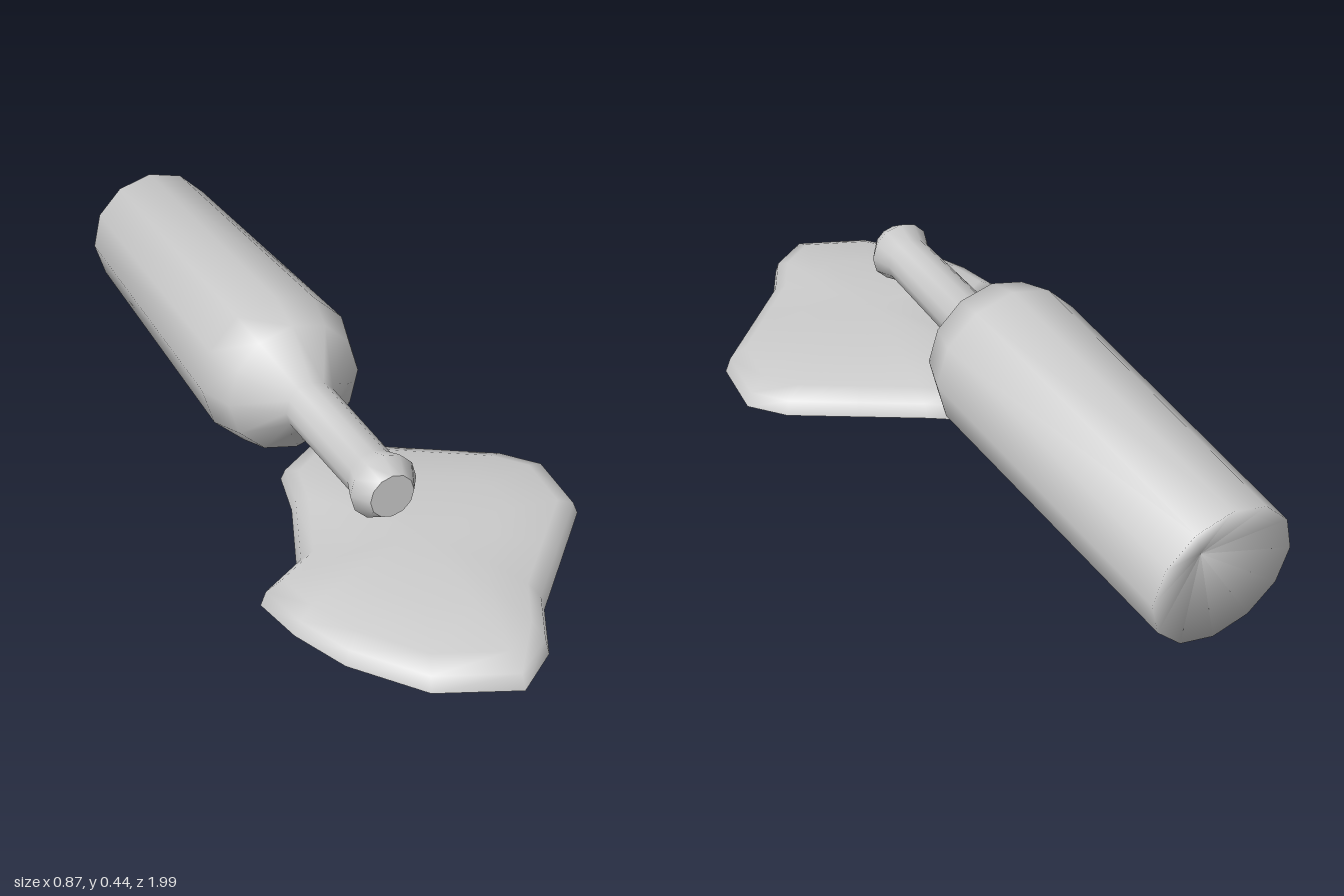
import * as THREE from 'three';

const material = new THREE.MeshStandardMaterial({ color: 0xcccccc, side: THREE.DoubleSide });

function addMesh(parent, name, geometry) {
  const mesh = new THREE.Mesh(geometry, material);
  mesh.name = name;
  parent.add(mesh);
  return mesh;
}

// Twelve-sided bottle with a dished base, lying with its neck tipped up slightly
function createBottle() {
  const bottle = new THREE.Group();
  bottle.name = 'bottle';
  const profile = [
    [0, 0.08], [0.19, 0], [0.215, 0.89], [0.182, 0.99], [0.07, 1.09],
    [0.066, 1.42], [0.087, 1.475], [0.057, 1.52],
  ].map(([r, h]) => new THREE.Vector2(r, h));
  addMesh(bottle, 'bottleBody', new THREE.LatheGeometry(profile, 12));

  const mouth = addMesh(bottle, 'bottleMouth', new THREE.CircleGeometry(0.057, 12));
  mouth.rotation.x = -Math.PI / 2;
  mouth.position.y = 1.52;

  bottle.rotation.x = Math.PI / 2 - 0.037;
  bottle.position.set(-0.118, 0.19, -0.99);
  return bottle;
}

// Domed puddle shell: the outline shrinks towards the centre while rising, open below
function createPuddle() {
  const outline = [
    [-0.06, -0.02], [0.04, 0.05], [0.2, 0.15], [0.36, 0.25], [0.435, 0.34], [0.42, 0.52],
    [0.28, 0.66], [0.15, 0.79], [0.08, 0.92], [-0.03, 0.995], [-0.22, 0.91], [-0.35, 0.75],
    [-0.41, 0.61], [-0.437, 0.48], [-0.31, 0.41], [-0.22, 0.19], [-0.19, 0.06],
  ];
  const rings = [[1, 0], [0.965, 0.037], [0.86, 0.06], [0.55, 0.079], [0.25, 0.085]];
  const cx = -0.03, cz = 0.5, n = outline.length;
  const positions = [], indices = [];

  for (const [s, y] of rings) {
    for (const [x, z] of outline) positions.push(cx + (x - cx) * s, y, cz + (z - cz) * s);
  }
  const top = rings.length * n;
  positions.push(cx, 0.086, cz);

  for (let r = 0; r < rings.length; r++) {
    for (let i = 0; i < n; i++) {
      const a = r * n + i, b = r * n + (i + 1) % n;
      if (r === rings.length - 1) indices.push(a, top, b);
      else indices.push(a, a + n, b, b, a + n, b + n);
    }
  }
  const geometry = new THREE.BufferGeometry();
  geometry.setAttribute('position', new THREE.Float32BufferAttribute(positions, 3));
  geometry.setIndex(indices);
  geometry.computeVertexNormals();
  return geometry;
}

export function createModel() {
  const model = new THREE.Group();
  model.name = 'spilledBottle';
  model.add(createBottle());
  addMesh(model, 'puddle', createPuddle());
  return model;
}
